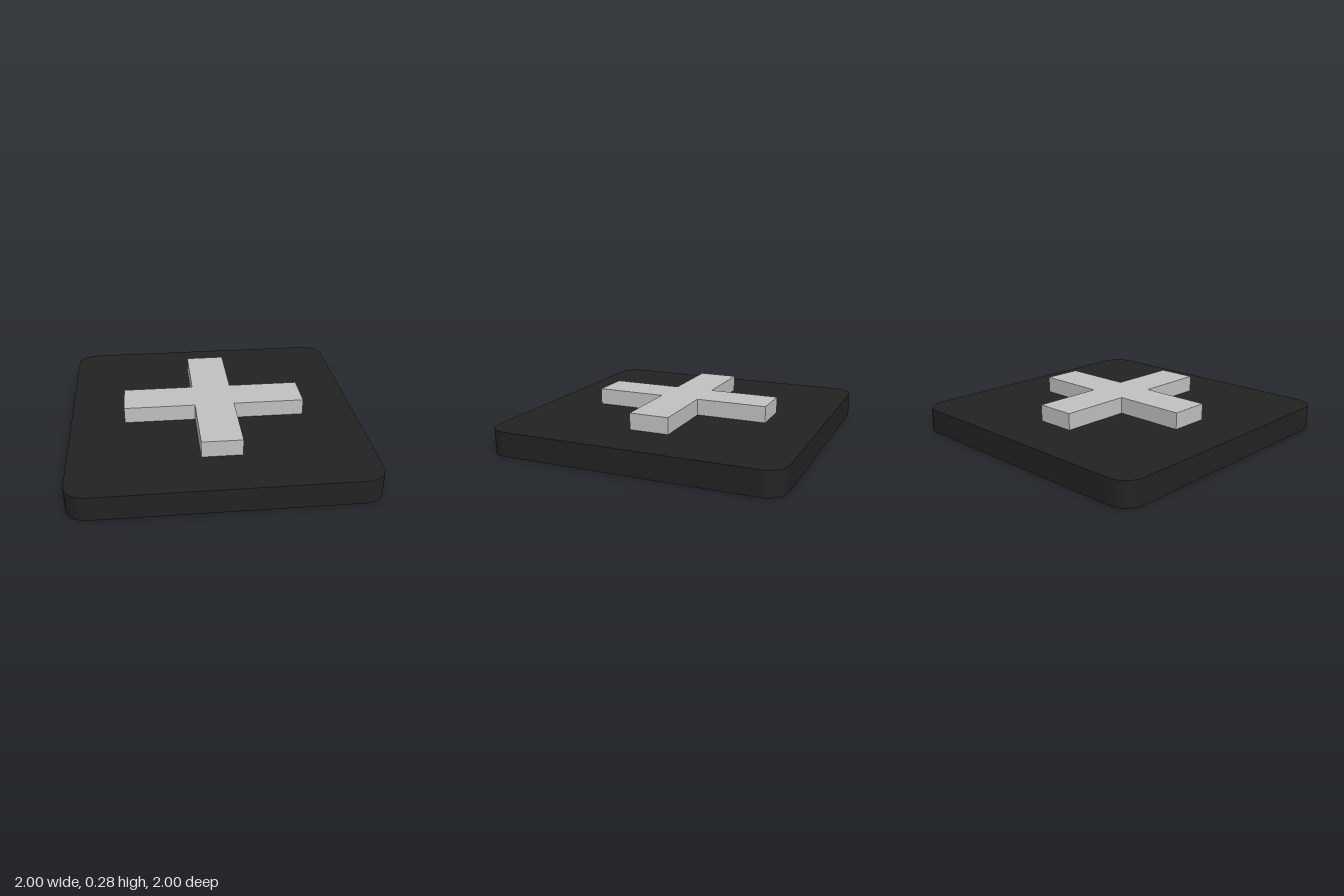
import * as THREE from 'three';
import { toCreasedNormals } from 'three/addons/utils/BufferGeometryUtils.js';

const BASE_HEIGHT = 0.167, TOP = 0.28;

// Extrude an outline upwards from y0 to y1
function slab(name, shape, y0, y1, material) {
  const geometry = new THREE.ExtrudeGeometry(shape, { depth: y1 - y0, bevelEnabled: false, curveSegments: 12 });
  geometry.rotateX(-Math.PI / 2).translate(0, y0, 0);
  const mesh = new THREE.Mesh(toCreasedNormals(geometry, Math.PI / 6), material);
  mesh.name = name;
  return mesh;
}

// Square outline with rounded corners
function roundedSquare(half, radius) {
  const shape = new THREE.Shape();
  const c = half - radius;
  [[c, c], [-c, c], [-c, -c], [c, -c]].forEach(([x, y], i) => {
    shape.absarc(x, y, radius, i * Math.PI / 2, (i + 1) * Math.PI / 2, false);
  });
  shape.closePath();
  return shape;
}

// Plus outline with four equal arms
function plus(length, width) {
  const points = [];
  for (let i = 0; i < 4; i++) {
    for (const [x, y] of [[length, -width], [length, width], [width, width]]) {
      points.push(new THREE.Vector2(x, y).rotateAround(new THREE.Vector2(), i * Math.PI / 2));
    }
  }
  return new THREE.Shape(points);
}

export function createModel() {
  const black = new THREE.MeshStandardMaterial({ color: 0x222222 });
  black.name = 'black';
  const lightGrey = new THREE.MeshStandardMaterial({ color: 0xc0c0c0 });
  lightGrey.name = 'light grey';

  const model = new THREE.Group();
  model.name = 'plusButton';
  model.add(
    slab('basePlate', roundedSquare(1, 0.14), 0, BASE_HEIGHT, black),
    slab('raisedPlus', plus(0.628, 0.137), BASE_HEIGHT, TOP, lightGrey),
  );
  return model;
}
